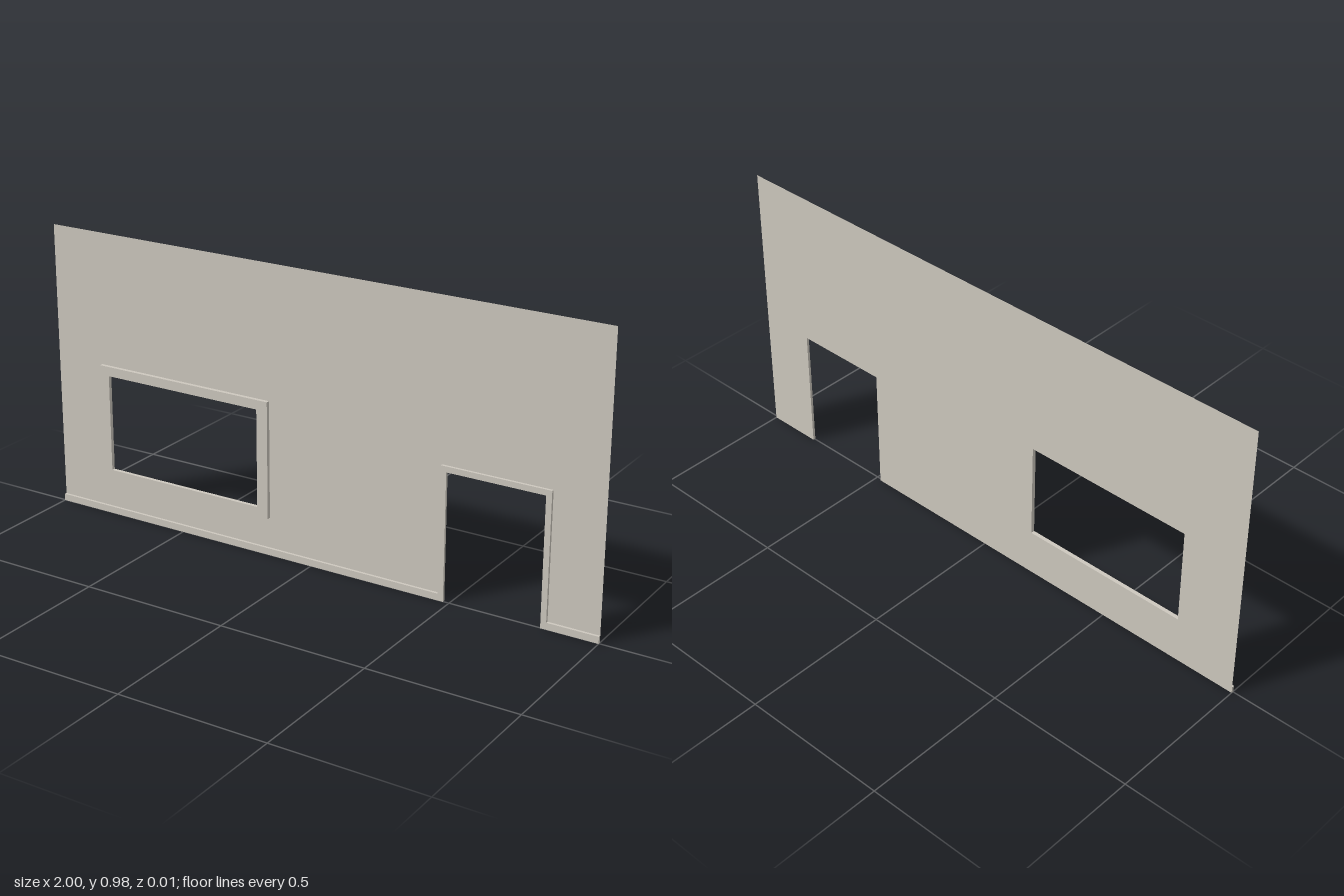
import * as THREE from 'three';

const BACK = -0.0065;
const HEIGHT = 0.975;
const door = { x0: 0.48, x1: 0.81, top: 0.428 };
const opening = [-0.785, 0.16, -0.2, 0.493];
const TRIM = 0.019;

function polygon(points) {
  return new THREE.Shape(points.map(([x, y]) => new THREE.Vector2(x, y)));
}

function rectangle([x0, y0, x1, y1]) {
  return polygon([[x0, y0], [x1, y0], [x1, y1], [x0, y1]]);
}

// Raised piece sitting on the wall sheet
function raised(name, shape, depth, material) {
  const geometry = new THREE.ExtrudeGeometry(shape, { depth, bevelEnabled: false });
  geometry.translate(0, 0, BACK);
  const mesh = new THREE.Mesh(geometry, material);
  mesh.name = name;
  return mesh;
}

export function createModel() {
  const group = new THREE.Group();
  group.name = 'wallPanel';
  const plaster = new THREE.MeshStandardMaterial({ color: 0xcdc8be, side: THREE.DoubleSide });
  plaster.name = 'warm grey plaster';

  // Thin wall sheet with doorway notch and window opening
  const wallShape = polygon([
    [-1, 0], [door.x0, 0], [door.x0, door.top], [door.x1, door.top],
    [door.x1, 0], [1, 0], [1, HEIGHT], [-1, HEIGHT],
  ]);
  wallShape.holes.push(rectangle(opening));
  const wall = new THREE.Mesh(new THREE.ShapeGeometry(wallShape), plaster);
  wall.name = 'wall';
  wall.position.z = BACK;
  group.add(wall);

  // Window frame
  const frameShape = rectangle([-0.82, 0.127, -0.16, 0.525]);
  frameShape.holes.push(rectangle(opening));
  group.add(raised('windowFrame', frameShape, 0.013, plaster));

  // Skirting that runs up and over the doorway in one strip
  const skirting = 0.023;
  const trimShape = polygon([
    [-1, 0], [door.x0, 0], [door.x0, door.top], [door.x1, door.top], [door.x1, 0], [1, 0],
    [1, skirting], [door.x1 + TRIM, skirting], [door.x1 + TRIM, door.top + TRIM],
    [door.x0 - TRIM, door.top + TRIM], [door.x0 - TRIM, skirting], [-1, skirting],
  ]);
  group.add(raised('skirtingAndDoorTrim', trimShape, 0.009, plaster));

  return group;
}
